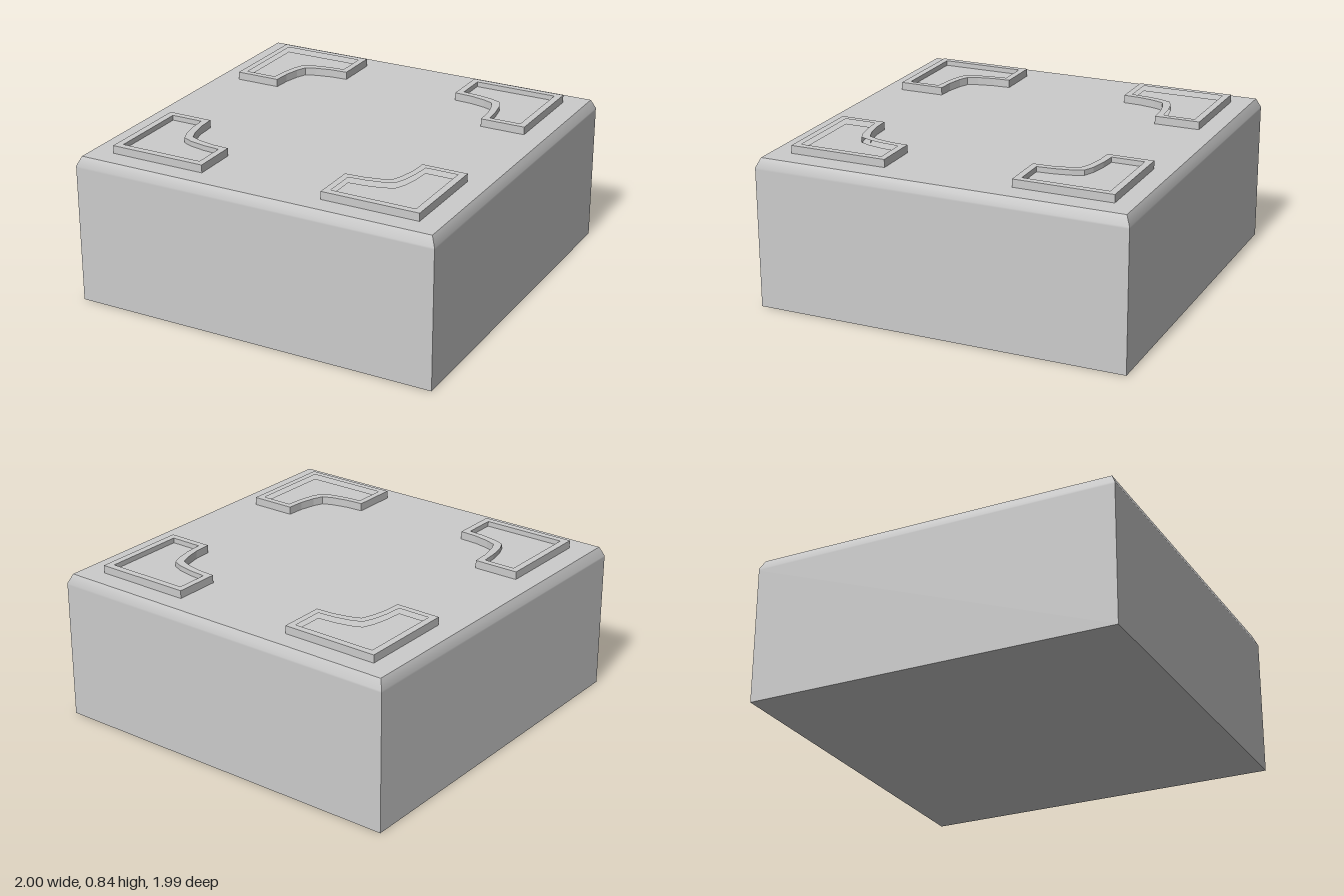
import * as THREE from 'three';
import { toCreasedNormals } from 'three/addons/utils/BufferGeometryUtils.js';

const TOP = 0.8;
const material = new THREE.MeshStandardMaterial({ color: 0xcccccc });

// Half of each outline, measured inward from the bracket's outer corner;
// the other half is the same points mirrored across the diagonal.
const OUTER = [[0, 0], [0.525, 0], [0.525, 0.245], [0.43, 0.25], [0.345, 0.268], [0.29, 0.29]];
const INNER = [[0.037, 0.037], [0.49, 0.037], [0.49, 0.21], [0.4, 0.217], [0.315, 0.234], [0.258, 0.258]];

function outline(half, sx, sz) {
  const mirrored = half.slice(1, -1).reverse().map(([u, v]) => [v, u]);
  return [...half, ...mirrored].map(([u, v]) => new THREE.Vector2(sx * (0.859 - u), sz * (0.868 - v)));
}

function slab(shape, height, name) {
  const geometry = new THREE.ExtrudeGeometry(shape, { depth: height, bevelEnabled: false });
  geometry.rotateX(-Math.PI / 2).translate(0, TOP, 0);
  const mesh = new THREE.Mesh(geometry, material);
  mesh.name = name;
  return mesh;
}

// Raised rim around a shallow sunken panel
function cornerBracket(sx, sz) {
  const bracket = new THREE.Group();
  bracket.name = `${sz < 0 ? 'front' : 'back'}${sx > 0 ? 'Left' : 'Right'}Bracket`;
  const rim = new THREE.Shape(outline(OUTER, sx, sz));
  rim.holes.push(new THREE.Path(outline(INNER, sx, sz)));
  bracket.add(slab(rim, 0.042, 'rim'));
  bracket.add(slab(new THREE.Shape(outline(INNER, sx, sz)), 0.015, 'sunkenPanel'));
  return bracket;
}

// Square block with a softly shaded chamfer around the top
function block() {
  const profile = [[0, 0], [1, 0], [1, 0.74], [1, 0.75], [0.977, TOP], [0, TOP]]
    .map(([r, y]) => new THREE.Vector2(r * Math.SQRT2, y));
  const geometry = new THREE.LatheGeometry(profile, 4, Math.PI / 4);
  geometry.scale(1, 1, 0.997);
  const mesh = new THREE.Mesh(toCreasedNormals(geometry, 0.7), material);
  mesh.name = 'block';
  return mesh;
}

export function createModel() {
  const model = new THREE.Group();
  model.name = 'blockWithCornerBrackets';
  model.add(block());
  for (const sx of [-1, 1]) for (const sz of [-1, 1]) model.add(cornerBracket(sx, sz));
  return model;
}
